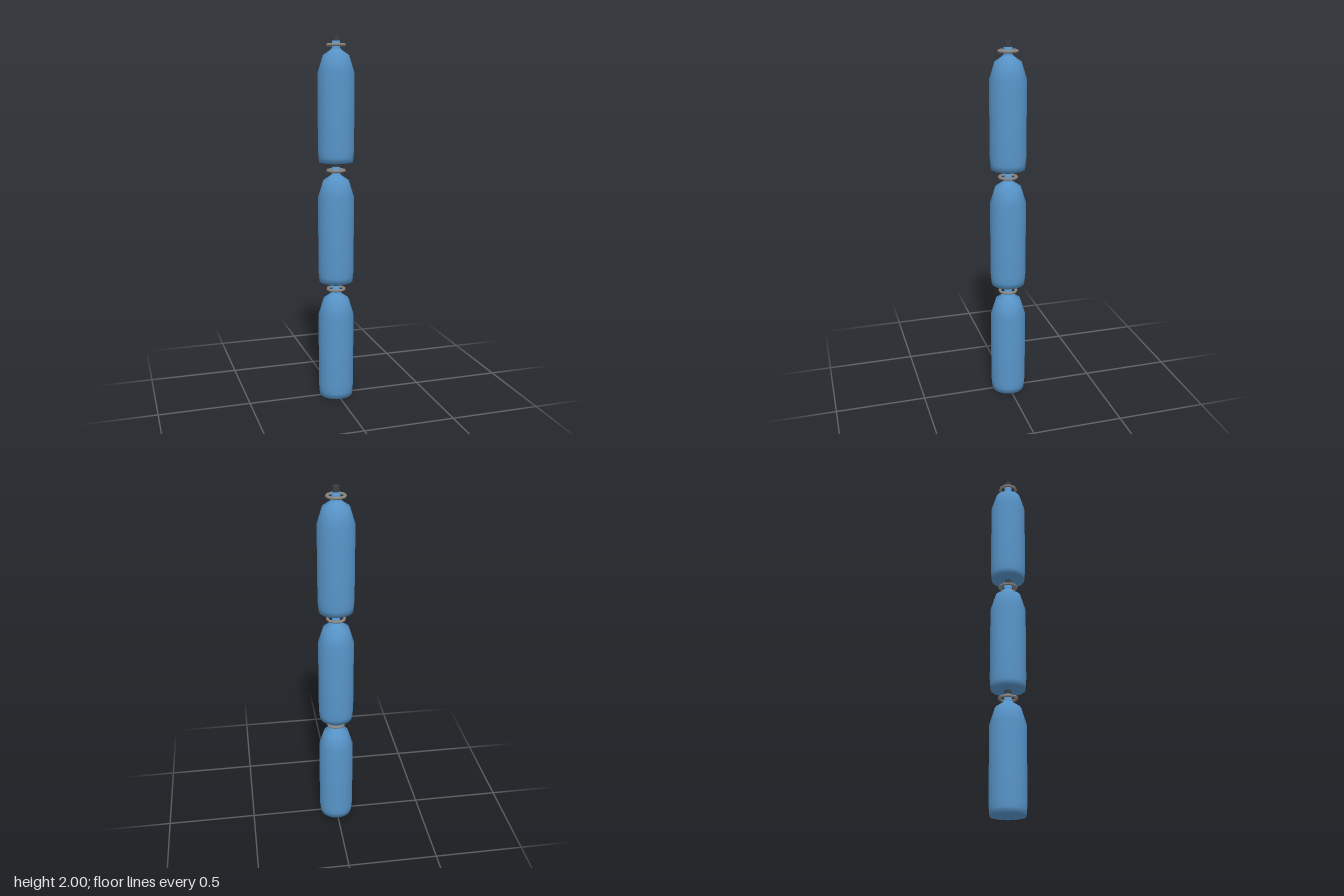
import * as THREE from 'three';

export function createModel() {
  const model = new THREE.Group();
  const blue = new THREE.MeshStandardMaterial({ name: 'bottle blue', color: 0x5794c8 });
  const grey = new THREE.MeshStandardMaterial({ name: 'ring grey', color: 0x8a8683 });
  const dark = new THREE.MeshStandardMaterial({ name: 'valve dark', color: 0x3c3f40 });

  // Turned bottle: base, slightly tapered foot, straight wall, shoulder, neck
  const profile = [
    [0, 0], [0.092, 0], [0.095, 0.03], [0.098, 0.065], [0.098, 0.475], [0.07, 0.566],
    [0.03, 0.594], [0.022, 0.605], [0.022, 0.64], [0, 0.64],
  ].map(([r, y]) => new THREE.Vector2(r, y));
  const bottleShape = new THREE.LatheGeometry(profile, 24);

  // Loose carrying ring around the neck
  const ringShape = new THREE.TorusGeometry(0.047, 0.008, 8, 10);
  ringShape.rotateX(Math.PI / 2);

  const valveShape = new THREE.CylinderGeometry(0.018, 0.018, 0.035, 12);

  const add = (group, name, geometry, material, y) => {
    const mesh = new THREE.Mesh(geometry, material);
    mesh.name = name;
    mesh.position.y = y;
    group.add(mesh);
  };

  // Three identical bottles stacked in a column
  for (let i = 0; i < 3; i++) {
    const unit = new THREE.Group();
    unit.name = 'bottleUnit' + (i + 1);
    unit.position.y = i * 0.665;
    add(unit, 'bottle', bottleShape, blue, 0);
    add(unit, 'neckRing', ringShape, grey, 0.62);
    add(unit, 'valve', valveShape, dark, 0.6525);
    model.add(unit);
  }
  return model;
}
